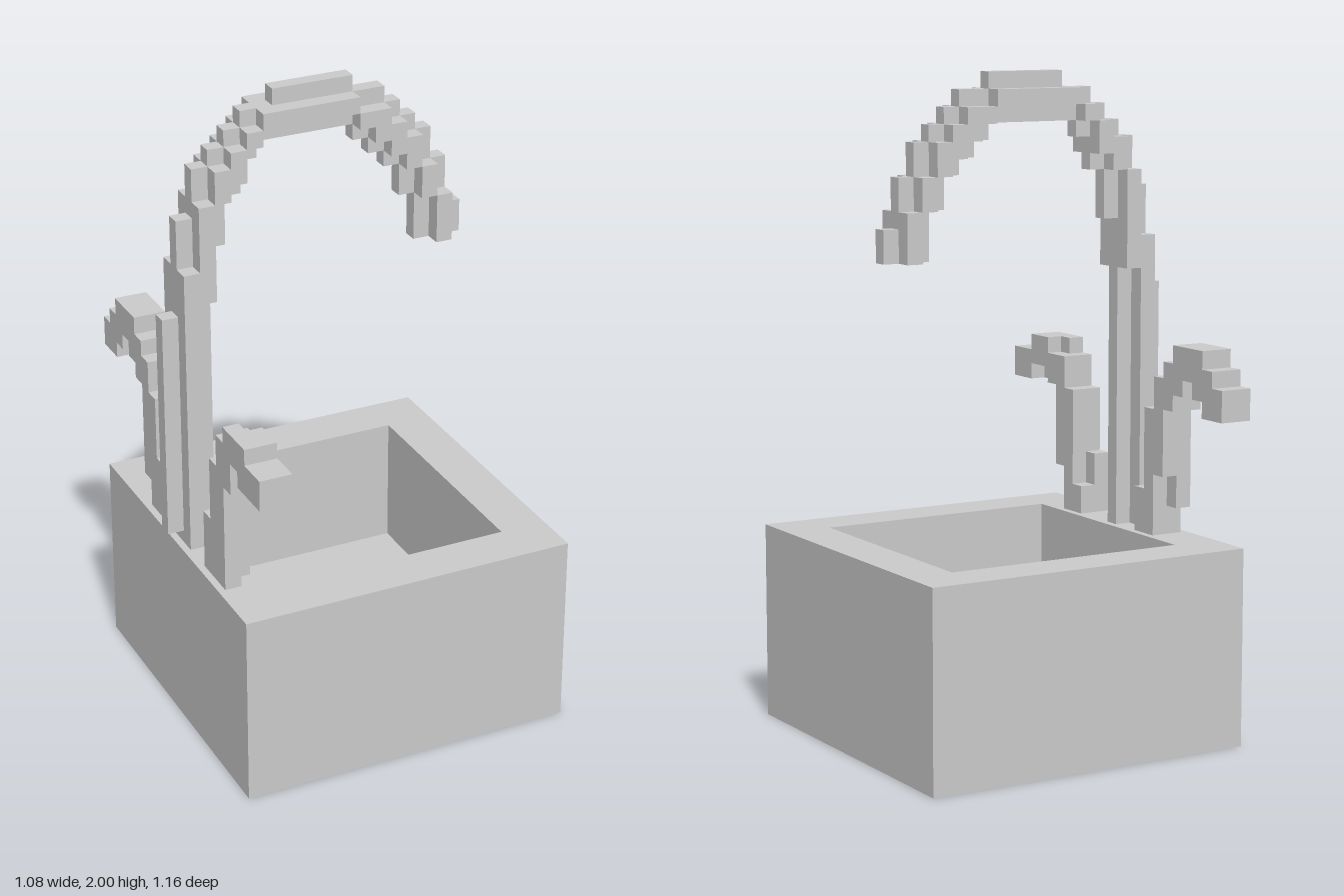
import * as THREE from 'three';
import { mergeGeometries } from 'three/addons/utils/BufferGeometryUtils.js';

const material = new THREE.MeshStandardMaterial({ color: 0xcccccc, flatShading: true });
const U = 0.0505; // width of one block
const X0 = -0.543; // back of the spout
const RIM = 0.603; // height of the basin

function box(x0, x1, y0, y1, z0, z1) {
  const g = new THREE.BoxGeometry(x1 - x0, y1 - y0, z1 - z0);
  return g.translate((x0 + x1) / 2, (y0 + y1) / 2, (z0 + z1) / 2);
}

function part(name, geometries) {
  const mesh = new THREE.Mesh(mergeGeometries(geometries), material);
  mesh.name = name;
  return mesh;
}

// Square tub: extruded rim with an opening, closed by a thick floor
function createBasin() {
  const rect = (Type, x0, x1, z0, z1) => new Type([
    new THREE.Vector2(x0, -z1), new THREE.Vector2(x1, -z1),
    new THREE.Vector2(x1, -z0), new THREE.Vector2(x0, -z0),
  ]);
  const shape = rect(THREE.Shape, -0.514, 0.54, -0.529, 0.525);
  shape.holes.push(rect(THREE.Path, -0.369, 0.394, -0.381, 0.378));
  const walls = new THREE.ExtrudeGeometry(shape, { depth: RIM, bevelEnabled: false });
  walls.rotateX(-Math.PI / 2);
  const floor = box(-0.369, 0.394, 0, 0.2, -0.381, 0.378).toNonIndexed();
  return part('basin', [walls, floor]);
}

// Arched spout, one block per column: middle row, then the two side rows
function createSpout() {
  // [first column, columns, middle bottom, middle top, side bottom, side top]
  const columns = [
    [0, 1, 0.643, 1.35],
    [1, 1, RIM, 1.65, RIM, 1.5],
    [2, 1, RIM, 1.8, 1.4, 1.7],
    [3, 1, 1.55, 1.85, 1.7, 1.8],
    [4, 1, 1.7, 1.9, 1.75, 1.85],
    [5, 1, 1.8, 1.95, 1.85, 1.9],
    [6, 1, 1.85, 1.95, 1.9, 1.95],
    [7, 5, 1.85, 2, 1.9, 1.95],
    [12, 1, 1.8, 1.95, 1.85, 1.9],
    [13, 1, 1.75, 1.95, 1.8, 1.9],
    [14, 1, 1.7, 1.9, 1.75, 1.85],
    [15, 1, 1.6, 1.85, 1.7, 1.8],
    [16, 1, 1.45, 1.8, 1.6, 1.7],
    [17, 1, 1.45, 1.7, 1.45, 1.6],
    [18, 1, 1.45, 1.55],
  ];
  const blocks = [];
  for (const [i, n, y0, y1, s0, s1] of columns) {
    const x0 = X0 + i * U, x1 = x0 + n * U;
    blocks.push(box(x0, x1, y0, y1, -0.025, 0.022));
    if (s1 === undefined) continue;
    blocks.push(box(x0, x1, s0, s1, -0.078, -0.025), box(x0, x1, s0, s1, 0.022, 0.073));
  }
  return part('spout', blocks);
}

// Curved tap handle, two blocks thick: back row, then front row
function createHandle(name, start, side, columns) {
  const blocks = [];
  columns.forEach(([a0, a1, b0, b1], i) => {
    const za = side * (start + i * U), zb = side * (start + (i + 1) * U);
    const z0 = Math.min(za, zb), z1 = Math.max(za, zb);
    blocks.push(box(-0.492, -0.441, a0, a1, z0, z1));
    blocks.push(box(-0.441, -0.391, b0, b1, z0, z1));
  });
  return part(name, blocks);
}

export function createModel() {
  const model = new THREE.Group();
  model.name = 'sink';
  model.add(createBasin(), createSpout());
  // [back bottom, back top, front bottom, front top] outward from the spout
  model.add(createHandle('leftHandle', 0.176, 1, [
    [RIM, 0.79, RIM, 0.69],
    [RIM, 0.99, RIM, 0.99],
    [RIM, 1.09, 0.74, 1.09],
    [0.945, 1.14, 0.995, 1.09],
    [1.045, 1.14, 1.045, 1.14],
    [0.995, 1.14, 1.045, 1.14],
    [0.995, 1.09, 0.995, 1.09],
    [0.995, 1.09, 0.995, 1.09],
  ]));
  model.add(createHandle('rightHandle', 0.129, -1, [
    [RIM, 0.79, RIM, 0.74],
    [RIM, 0.99, RIM, 0.99],
    [0.69, 1.09, 0.79, 1.09],
    [0.995, 1.14, 0.995, 1.14],
    [1.045, 1.195, 1.045, 1.195],
    [1.095, 1.195, 1.095, 1.195],
    [1.045, 1.195, 1.045, 1.195],
    [0.995, 1.14, 0.995, 1.14],
    [0.995, 1.09, 0.995, 1.09],
  ]));
  return model;
}
